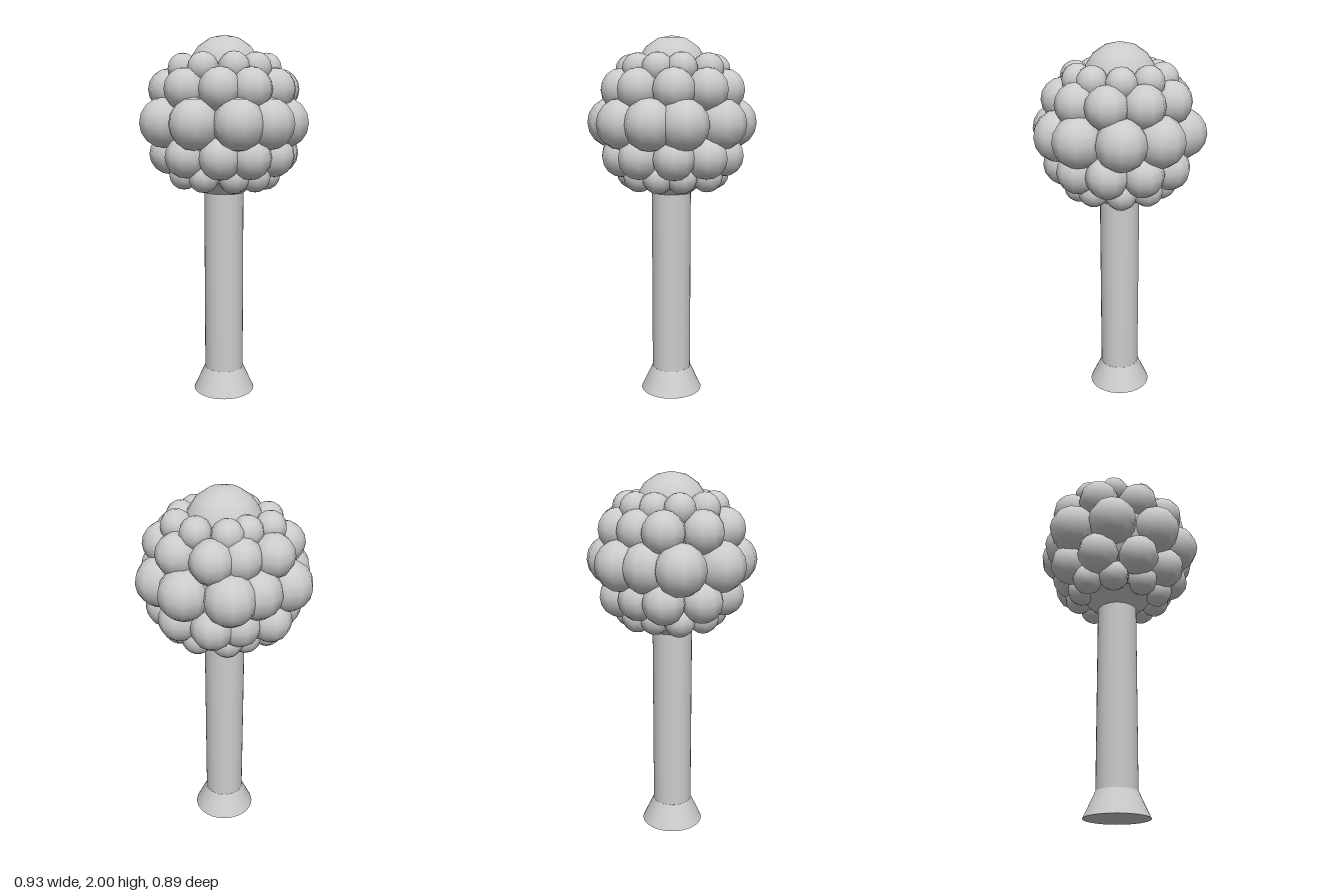
import * as THREE from 'three';

const material = new THREE.MeshStandardMaterial({ color: 0xcccccc });
const CX = -0.01, CROWN_Y = 1.54;

function add(parent, name, geometry, x, y, z) {
  const mesh = new THREE.Mesh(geometry, material);
  mesh.name = name;
  mesh.position.set(x, y, z);
  parent.add(mesh);
  return mesh;
}

// One ring of leaf balls; each [x, z] centre, turned to face outwards
function leafRing(parent, name, centres, radius, y) {
  const ring = new THREE.Group();
  ring.name = name;
  const ball = new THREE.SphereGeometry(radius, 10, 8);
  for (const [x, z] of centres) {
    add(ring, 'leafBall', ball, x, y, z).rotation.y = -Math.atan2(z, x - CX);
  }
  parent.add(ring);
}

export function createModel() {
  const tree = new THREE.Group();
  tree.name = 'tree';

  // Trunk with flared foot
  add(tree, 'trunkFoot', new THREE.CylinderGeometry(0.11, 0.173, 0.135, 32), CX, 0.0675, 0.005);
  add(tree, 'trunk', new THREE.CylinderGeometry(0.109, 0.109, 1.1, 32), CX, 0.685, 0.005);

  // Hidden core, underside collar and top dome of the crown
  add(tree, 'crownCore', new THREE.SphereGeometry(0.335, 24, 16), CX, CROWN_Y, 0);
  add(tree, 'crownCollar', new THREE.CylinderGeometry(0.2, 0.11, 0.075, 32), CX, 1.1925, 0.003);
  add(tree, 'crownDome', new THREE.SphereGeometry(0.2, 20, 8), CX, 1.8, 0);

  // Irregular rings, the upper two repeated below the widest one
  const middle = [
    [-0.07, -0.32], [0.135, -0.3], [0.295, -0.14], [0.332, 0.025], [0.275, 0.19],
    [0.085, 0.315], [-0.17, 0.295], [-0.335, 0.13], [-0.3, -0.05], [-0.27, -0.2],
  ];
  const shoulder = [
    [0.007, -0.29], [0.18, -0.235], [0.275, -0.085], [0.275, 0.1], [0.18, 0.225],
    [-0.01, 0.285], [-0.22, 0.215], [-0.312, 0.04], [-0.245, -0.11], [-0.18, -0.235],
  ];
  const end = [
    [-0.055, -0.225], [0.095, -0.22], [0.197, -0.105], [0.227, 0.012], [0.185, 0.13],
    [0.047, 0.215], [-0.12, 0.2], [-0.232, 0.1], [-0.21, -0.035], [-0.185, -0.14],
  ];
  leafRing(tree, 'middleLeaves', middle, 0.134, CROWN_Y);
  for (const side of [1, -1]) {
    const place = side > 0 ? 'upper' : 'lower';
    leafRing(tree, place + 'ShoulderLeaves', shoulder, 0.112, CROWN_Y + side * 0.173);
    leafRing(tree, place + 'EndLeaves', end, 0.083, CROWN_Y + side * 0.28);
  }
  return tree;
}
